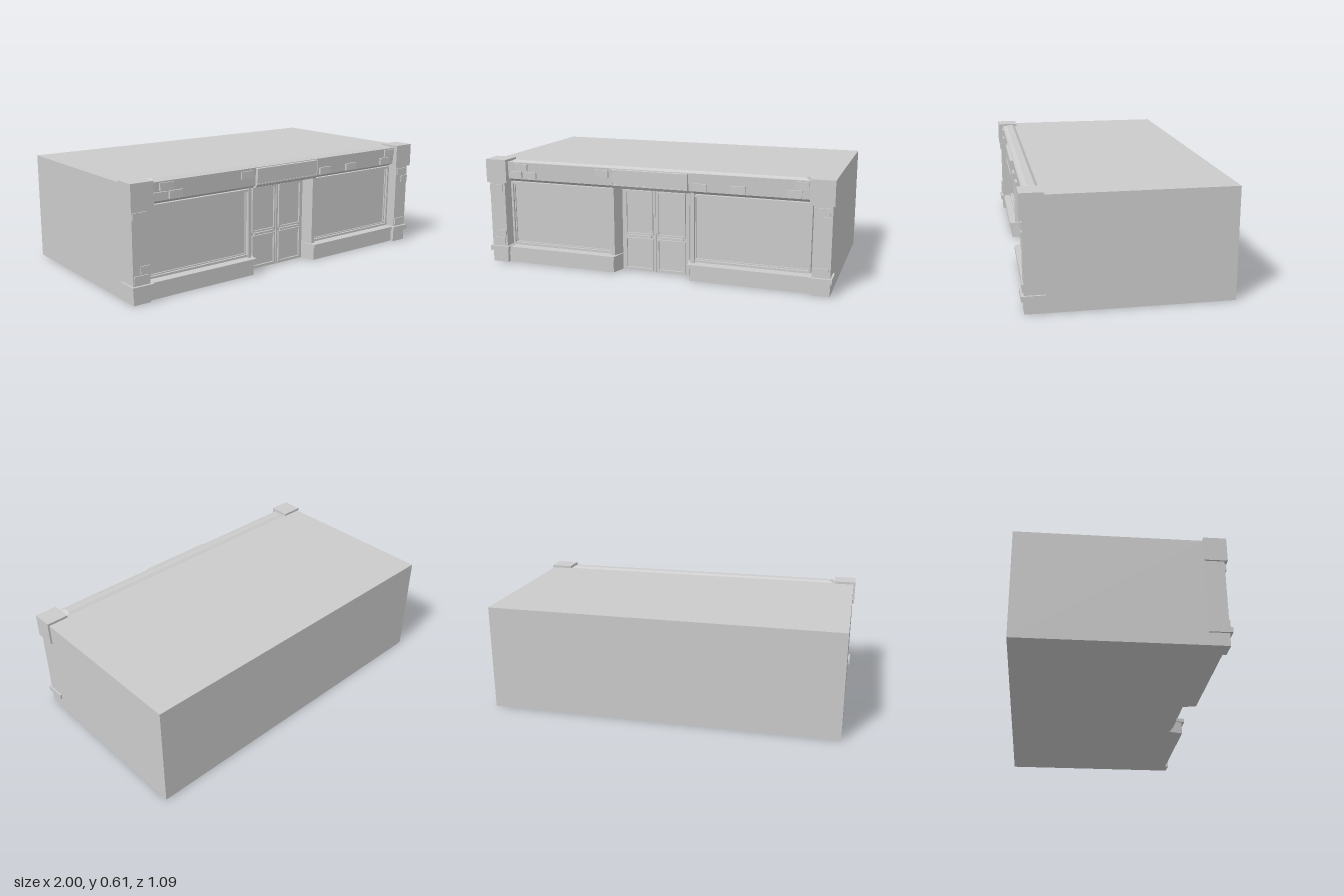
import * as THREE from 'three';

const material = new THREE.MeshStandardMaterial({ color: 0xcccccc, flatShading: true });

export function createModel() {
  const model = new THREE.Group();
  model.name = 'shopfront';

  const add = (name, geometry, parent = model) => {
    const mesh = new THREE.Mesh(geometry, material);
    mesh.name = name;
    parent.add(mesh);
    return mesh;
  };

  // Box given by its limits on each axis
  const box = (name, x0, x1, y0, y1, z0, z1, parent) => {
    const g = new THREE.BoxGeometry(Math.abs(x1 - x0), y1 - y0, z1 - z0);
    g.translate((x0 + x1) / 2, (y0 + y1) / 2, (z0 + z1) / 2);
    return add(name, g, parent);
  };

  const shapeOf = (pts) => new THREE.Shape(pts.map(([x, y]) => new THREE.Vector2(x, y)));

  // Plan outline of [x, z] points raised from y0 to y1
  const planPrism = (name, pts, y0, y1, parent) => {
    const g = new THREE.ExtrudeGeometry(shapeOf(pts.map(([x, z]) => [x, -z])), { depth: y1 - y0, bevelEnabled: false });
    g.rotateX(-Math.PI / 2).translate(0, y0, 0);
    return add(name, g, parent);
  };

  // Section of [z, y] points run along x, centred
  const sideProfile = (name, pts, width) => {
    const g = new THREE.ExtrudeGeometry(shapeOf(pts.map(([z, y]) => [-z, y])), { depth: width, bevelEnabled: false });
    g.rotateY(Math.PI / 2).translate(-width / 2, 0, 0);
    return add(name, g);
  };

  // Thin rectangular moulding with an open middle
  const moulding = (name, x0, x1, y0, y1, t, z0, z1, parent) => {
    const rect = (i) => [[x0 + i, y0 + i], [x1 - i, y0 + i], [x1 - i, y1 - i], [x0 + i, y1 - i]];
    const shape = shapeOf(rect(0));
    shape.holes.push(new THREE.Path(rect(t).reverse().map(([x, y]) => new THREE.Vector2(x, y))));
    const g = new THREE.ExtrudeGeometry(shape, { depth: z1 - z0, bevelEnabled: false });
    g.translate(0, 0, z0);
    return add(name, g, parent);
  };

  // Box whose upper rim is drawn in to form a chamfer
  const chamferedCap = (name, x, y0, y1, z0, z1, inset) => {
    const g = new THREE.BoxGeometry(2 * x, y1 - y0, z1 - z0);
    const p = g.attributes.position;
    for (let i = 0; i < p.count; i++) {
      if (p.getY(i) > 0) {
        p.setX(i, p.getX(i) - Math.sign(p.getX(i)) * inset);
        p.setZ(i, p.getZ(i) - Math.sign(p.getZ(i)) * inset);
      }
    }
    g.translate(0, (y0 + y1) / 2, (z0 + z1) / 2).computeVertexNormals();
    return add(name, g);
  };

  // Building body
  box('body', -0.99, 0.99, 0, 0.6, -0.545, 0.425);

  // Each half of the front: corner column, base, sill and display window
  for (const s of [-1, 1]) {
    const half = new THREE.Group();
    half.name = s > 0 ? 'leftHalf' : 'rightHalf';
    model.add(half);
    const m = (pts) => pts.map(([x, z]) => [s * x, z]);

    box('cornerColumn', s * 0.893, s * 0.99, 0, 0.49, 0.42, 0.53, half);
    box('columnBand', s * 0.88, s, 0.07, 0.098, 0.425, 0.545, half);
    box('columnCapital', s * 0.872, s, 0.48, 0.614, 0.425, 0.545, half);

    planPrism('windowBase', m([[0.9, 0.42], [0.9, 0.51], [0.225, 0.51], [0.2, 0.42]]), 0, 0.075, half);
    planPrism('windowSill', m([[0.89, 0.42], [0.89, 0.525], [0.217, 0.525], [0.195, 0.42]]), 0.073, 0.095, half);
    planPrism('doorJamb', m([[0.245, 0.42], [0.245, 0.49], [0.225, 0.49], [0.198, 0.42]]), 0.09, 0.49, half);

    const xs = [s * 0.232, s * 0.88].sort((a, b) => a - b);
    box('windowPane', xs[0], xs[1], 0.09, 0.49, 0.42, 0.462, half);
    moulding('windowFrame', xs[0], xs[1], 0.1, 0.478, 0.012, 0.46, 0.482, half);
    moulding('windowBead', xs[0] + 0.012, xs[1] - 0.012, 0.112, 0.466, 0.006, 0.46, 0.47, half);

    // Door leaf with an upper light and a lower panel
    const ds = [s * 0.013, s * 0.178].sort((a, b) => a - b);
    box('doorLeaf', s * 0.004, s * 0.198, 0.002, 0.49, 0.42, 0.432, half);
    moulding('upperDoorPanel', ds[0], ds[1], 0.215, 0.468, 0.009, 0.43, 0.442, half);
    moulding('lowerDoorPanel', ds[0], ds[1], 0.012, 0.195, 0.009, 0.43, 0.442, half);
    box('doorRail', ds[0] + 0.01, ds[1] - 0.01, 0.199, 0.211, 0.43, 0.444, half);
  }
  box('doorMeetingStrip', -0.004, 0.004, 0.002, 0.485, 0.42, 0.438);

  // Fascia with a sloping underside, signboard and chamfered coping
  sideProfile('fascia', [[0.42, 0.482], [0.475, 0.482], [0.515, 0.502], [0.52, 0.6], [0.42, 0.6]], 1.75);
  chamferedCap('coping', 0.87, 0.595, 0.611, 0.428, 0.518, 0.026);
  sideProfile('signboard', [[0.5, 0.49], [0.518, 0.49], [0.531, 0.508], [0.531, 0.595], [0.5, 0.6]], 0.44);
  moulding('signFrame', -0.22, 0.22, 0.507, 0.595, 0.006, 0.525, 0.535);

  // Exposed bricks as [x, y] of the lower corner
  const bricks = (name, corners, width, z) => corners.forEach(([x, y]) =>
    box(name, x, x + width, y, y + 0.04, z - 0.02, z));
  bricks('fasciaBrick', [[-0.824, 0.553], [-0.861, 0.508], [-0.77, 0.508], [-0.321, 0.548],
    [0.246, 0.507], [0.455, 0.507], [0.786, 0.553], [0.749, 0.507]], 0.079, 0.528);
  bricks('columnBrick', [[-0.988, 0.427], [-0.984, 0.11], [0.898, 0.427], [0.898, 0.11]], 0.08, 0.537);
  bricks('columnHalfBrick', [[-0.948, 0.156], [0.936, 0.38]], 0.052, 0.537);

  return model;
}
